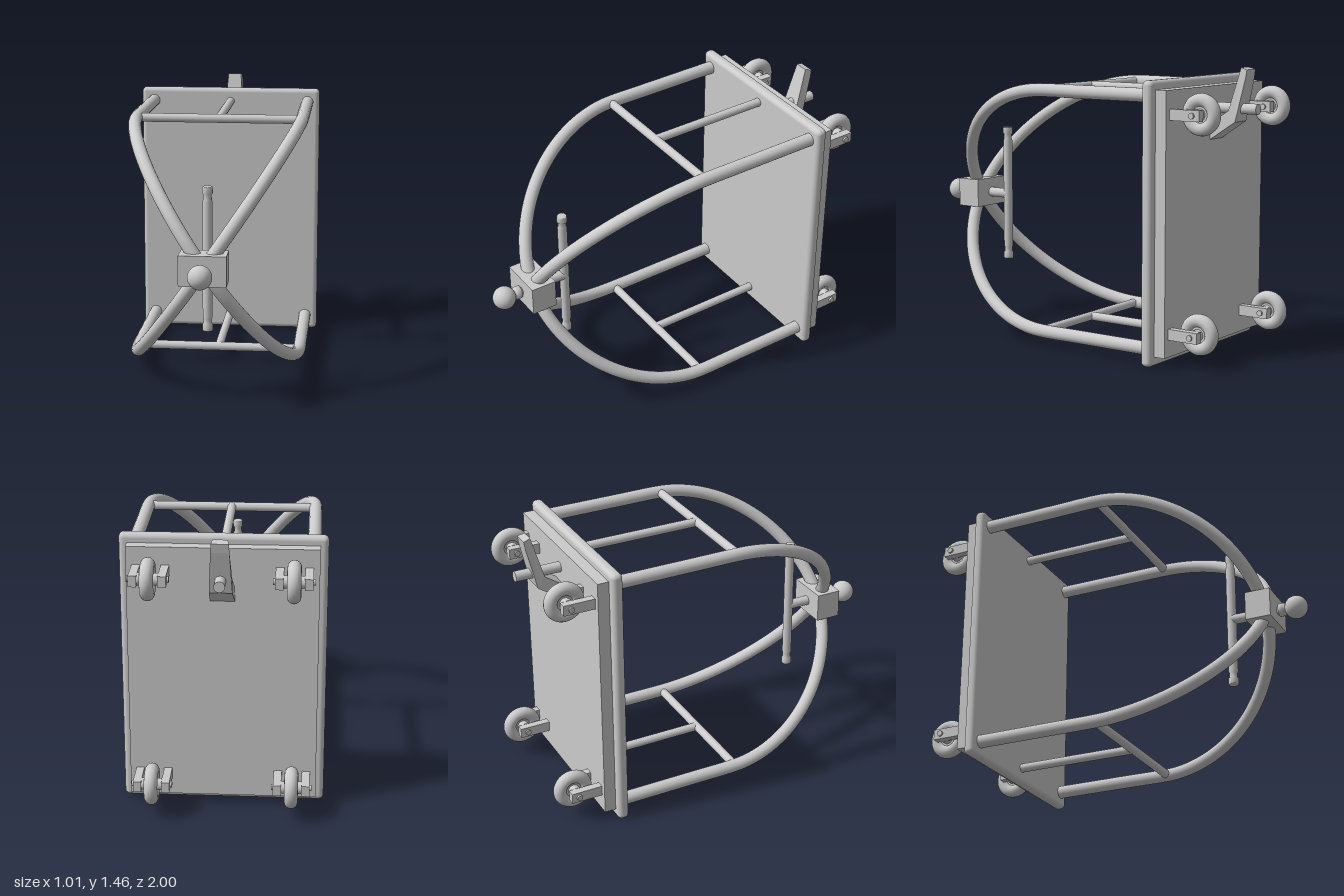
import * as THREE from 'three';
import { RoundedBoxGeometry } from 'three/addons/geometries/RoundedBoxGeometry.js';

const mat = new THREE.MeshStandardMaterial({ color: 0xcccccc });
const MID = 0.705; // height of the hub

export function createModel() {
  const root = new THREE.Group();

  const add = (name, geometry, x = 0, y = 0, z = 0, parent = root) => {
    const mesh = new THREE.Mesh(geometry, mat);
    mesh.name = name;
    mesh.position.set(x, y, z);
    parent.add(mesh);
    return mesh;
  };
  const box = (name, w, h, d, x, y, z, parent) =>
    add(name, new THREE.BoxGeometry(w, h, d), x, y, z, parent);
  // Round bar between two points
  const bar = (name, r, a, b, parent) => {
    const from = new THREE.Vector3(...a), to = new THREE.Vector3(...b);
    const mesh = add(name, new THREE.CylinderGeometry(r, r, from.distanceTo(to), 24), 0, 0, 0, parent);
    mesh.position.copy(from).add(to).multiplyScalar(0.5);
    mesh.quaternion.setFromUnitVectors(new THREE.Vector3(0, 1, 0), to.sub(from).normalize());
    return mesh;
  };
  const lathe = (points) =>
    new THREE.LatheGeometry(points.map(([r, y]) => new THREE.Vector2(r, y)), 32);

  // Base plate with rounded rim, and the backing panel behind it
  add('basePlate', new RoundedBoxGeometry(1.01, 1.405, 0.06, 4, 0.025), 0, 0.7025, -0.67);
  box('backPanel', 0.93, 1.31, 0.065, 0, 0.705, -0.7275);

  // Four rails: straight from the plate, then curving in to the hub
  for (const sx of [-1, 1]) {
    for (const sy of [-1, 1]) {
      const points = [-0.66, -0.44, -0.22].map(
        (z) => new THREE.Vector3(sx * 0.437, MID + sy * 0.625, z));
      for (let i = 0; i <= 14; i++) {
        const a = (i / 14) * Math.PI / 2;
        const c = Math.pow(Math.max(0, Math.cos(a)), 1.06);
        points.push(new THREE.Vector3(
          sx * 0.437 * c, MID + sy * 0.625 * c, 0.775 * Math.pow(Math.sin(a), 1.06)));
      }
      add('frameRail', new THREE.TubeGeometry(new THREE.CatmullRomCurve3(points), 64, 0.034, 20));
    }
  }

  // Cross bars and centre bars, top and bottom
  for (const y of [MID - 0.625, MID + 0.625]) {
    bar('crossBar', 0.023, [-0.43, y, 0.015], [0.43, y, 0.015]);
    bar('centreBar', 0.023, [0, y, 0.015], [0, y, -0.66]);
  }

  // Hub block with ball knob in front
  box('hubBlock', 0.236, 0.153, 0.135, 0, 0.708, 0.7725);
  const neck = add('knobNeck', lathe([
    [0, 0], [0.022, 0], [0.022, 0.015], [0.034, 0.015], [0.034, 0.045],
    [0.02, 0.045], [0.02, 0.09], [0, 0.09],
  ]), 0, MID, 0.835);
  neck.rotation.x = Math.PI / 2;
  add('ballKnob', new THREE.SphereGeometry(0.06, 32, 20), 0, MID, 0.94);

  // Upright handle behind the hub, with grooved ends
  bar('handleStem', 0.026, [0, MID, 0.72], [0, MID, 0.585]);
  add('handle', lathe([
    [0, -0.37], [0.023, -0.37], [0.026, -0.365], [0.026, -0.335], [0.021, -0.33],
    [0.021, -0.305], [0.025, -0.295], [0.025, 0.295], [0.021, 0.305], [0.021, 0.33],
    [0.026, 0.335], [0.026, 0.365], [0.023, 0.37], [0, 0.37],
  ]), 0, 0.708, 0.585);

  // Casters: tyre, wheel disc, axle and two fork arms
  for (const x of [-0.345, 0.345]) {
    for (const y of [0.165, 1.242]) {
      const caster = new THREE.Group();
      caster.name = 'caster';
      caster.position.set(x, y, -0.885);
      root.add(caster);
      const tyre = add('tyre', new THREE.TorusGeometry(0.07, 0.034, 16, 40), 0, 0, 0, caster);
      tyre.rotation.y = Math.PI / 2;
      bar('wheelDisc', 0.06, [-0.016, 0, 0], [0.016, 0, 0], caster);
      bar('wheelHub', 0.03, [-0.05, 0, 0], [0.05, 0, 0], caster);
      bar('axle', 0.015, [-0.1, 0, 0], [0.1, 0, 0], caster);
      for (const s of [-1, 1]) {
        box('forkArm', 0.04, 0.055, 0.18, s * 0.07, 0, 0.05, caster);
      }
    }
  }

  // Foot lever: bent side profile, widening toward the foot, on a pin
  const profile = new THREE.Shape(
    [[0.92, 1.455], [0.86, 1.24], [0.757, 1.17], [0.757, 1.09], [0.9, 1.185], [0.95, 1.4], [0.957, 1.445]]
      .map(([z, y]) => new THREE.Vector2(z, y)));
  const lever = new THREE.ExtrudeGeometry(profile, { depth: 2, bevelEnabled: false });
  lever.translate(0, 0, -1).rotateY(Math.PI / 2);
  const pos = lever.attributes.position;
  for (let i = 0; i < pos.count; i++) {
    const y = pos.getY(i);
    pos.setX(i, pos.getX(i) * (y > 1.45 ? 0.036 : 0.042 + (1.455 - y) * 0.05));
  }
  lever.computeVertexNormals();
  add('footLever', lever);
  bar('leverPin', 0.027, [0, 1.25, -0.75], [0, 1.25, -1]);

  return root;
}
